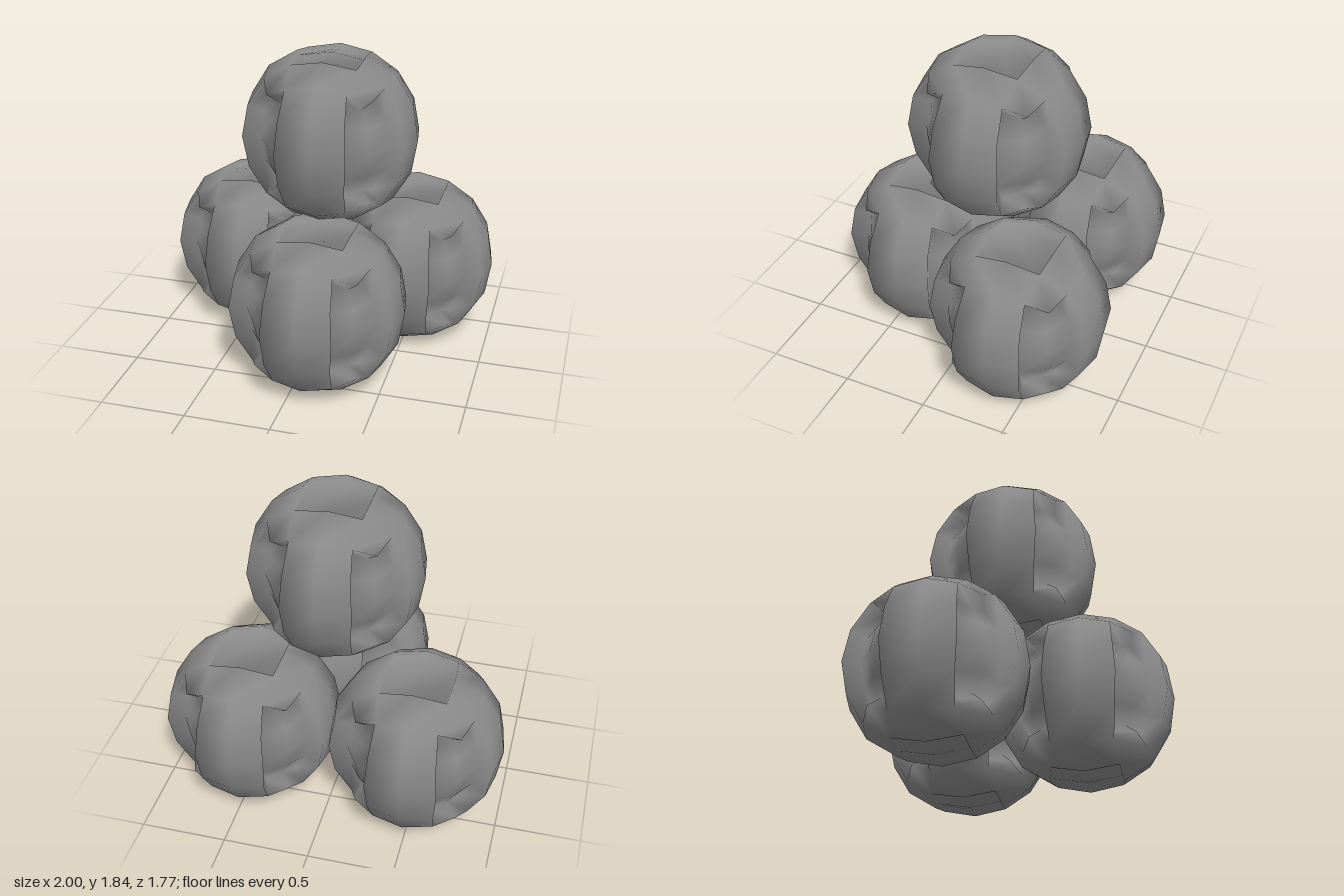
import * as THREE from 'three';

// Rounded-cube lattice: position for steps (a, b) from a face centre, a >= b
const LATTICE = {
  '00': [0, 0, 0.508], '10': [0.203, 0, 0.475], '11': [0.189, 0.189, 0.442],
  '20': [0.372, 0, 0.372], '21': [0.346, 0.175, 0.346], '22': [0.295, 0.295, 0.295],
};
const CAP_SINK = 0.94;     // top and bottom squares
const GROOVE_SINK = 0.8;   // four upright panels

const key = (p) => p.toArray().map((c) => Math.round(c * 1000) + 0).join();

function latticePoint(frame, i, j) {
  const a = Math.abs(i), b = Math.abs(j);
  const [p, q, h] = LATTICE[`${Math.max(a, b)}${Math.min(a, b)}`];
  const u = Math.sign(i) * (a >= b ? p : q);
  const v = Math.sign(j) * (a >= b ? q : p);
  return new THREE.Vector3()
    .addScaledVector(frame.u, u).addScaledVector(frame.v, v).addScaledVector(frame.n, h);
}

// Quads to one smooth skin, normals weighted by corner angle
function smoothGeometry(quads) {
  const ids = new Map(), points = [], normals = [], index = [];
  const idOf = (p) => {
    const k = key(p);
    if (!ids.has(k)) {
      ids.set(k, points.length);
      points.push(p);
      normals.push(new THREE.Vector3());
    }
    return ids.get(k);
  };
  for (const quad of quads) {
    const [a, b, c, d] = quad.map(idOf);
    index.push(a, b, c, a, c, d);
    const normal = quad[2].clone().sub(quad[0]).cross(quad[3].clone().sub(quad[1])).normalize();
    quad.forEach((p, k) => {
      const next = quad[(k + 1) % 4].clone().sub(p);
      const prev = quad[(k + 3) % 4].clone().sub(p);
      normals[idOf(p)].addScaledVector(normal, next.angleTo(prev));
    });
  }
  const g = new THREE.BufferGeometry().setFromPoints(points);
  const flat = normals.flatMap((n) => n.normalize().toArray());
  g.setAttribute('normal', new THREE.Float32BufferAttribute(flat, 3));
  g.setIndex(index);
  return g;
}

// Sunken floor plus the walls around its rim
function sunkenPanel(cells, scale) {
  const inner = (p) => p.clone().multiplyScalar(scale);
  const edges = new Set();
  for (const c of cells) c.forEach((p, k) => edges.add(key(p) + '|' + key(c[(k + 1) % 4])));
  const quads = [];
  for (const c of cells) {
    quads.push(c.map(inner));
    c.forEach((p, k) => {
      const q = c[(k + 1) % 4];
      if (!edges.has(key(q) + '|' + key(p))) quads.push([inner(p), p, q, inner(q)]);
    });
  }
  return quads;
}

function ballGeometry() {
  const shell = [];
  const panels = {};
  const up = new THREE.Vector3(0, 1, 0);
  for (const [x, y, z] of [[1, 0, 0], [-1, 0, 0], [0, 1, 0], [0, -1, 0], [0, 0, 1], [0, 0, -1]]) {
    const n = new THREE.Vector3(x, y, z);
    const u = y ? new THREE.Vector3(1, 0, 0) : up.clone().cross(n);
    const frame = { n, u, v: n.clone().cross(u) };
    for (let i = -2; i < 2; i++) for (let j = -2; j < 2; j++) {
      const cell = [[i, j], [i + 1, j], [i + 1, j + 1], [i, j + 1]].map(([a, b]) => latticePoint(frame, a, b));
      const outerColumn = i === -2 || i === 1;
      const outerRow = j === -2 || j === 1;
      const mid = cell[0].clone().add(cell[2]);
      // Group the cells of each cap and of each groove between two faces
      let panel = null;
      if (y && !outerColumn && !outerRow) panel = `cap ${y}`;
      if (!y && outerColumn) panel = `groove ${Math.sign(mid.x)} ${Math.sign(mid.z)}`;
      if (panel) (panels[panel] ??= []).push(cell);
      else shell.push(cell);
    }
  }
  const sunken = Object.entries(panels).flatMap(([name, cells]) =>
    sunkenPanel(cells, name.startsWith('cap') ? CAP_SINK : GROOVE_SINK));
  return smoothGeometry([...shell, ...sunken]);
}

export function createModel() {
  const model = new THREE.Group();
  model.name = 'ballPile';
  const material = new THREE.MeshStandardMaterial({ color: 0x8a8a8a });
  const geometry = ballGeometry();

  // Three balls on the ground, one resting on top
  const balls = {
    frontBall: [0.102, 0.478, 0.373],
    backLeftBall: [0.492, 0.478, -0.377],
    backRightBall: [-0.492, 0.478, -0.377],
    topBall: [0.064, 1.363, -0.05],
  };
  for (const [name, position] of Object.entries(balls)) {
    const ball = new THREE.Mesh(geometry, material);
    ball.name = name;
    ball.position.set(...position);
    model.add(ball);
  }
  return model;
}
